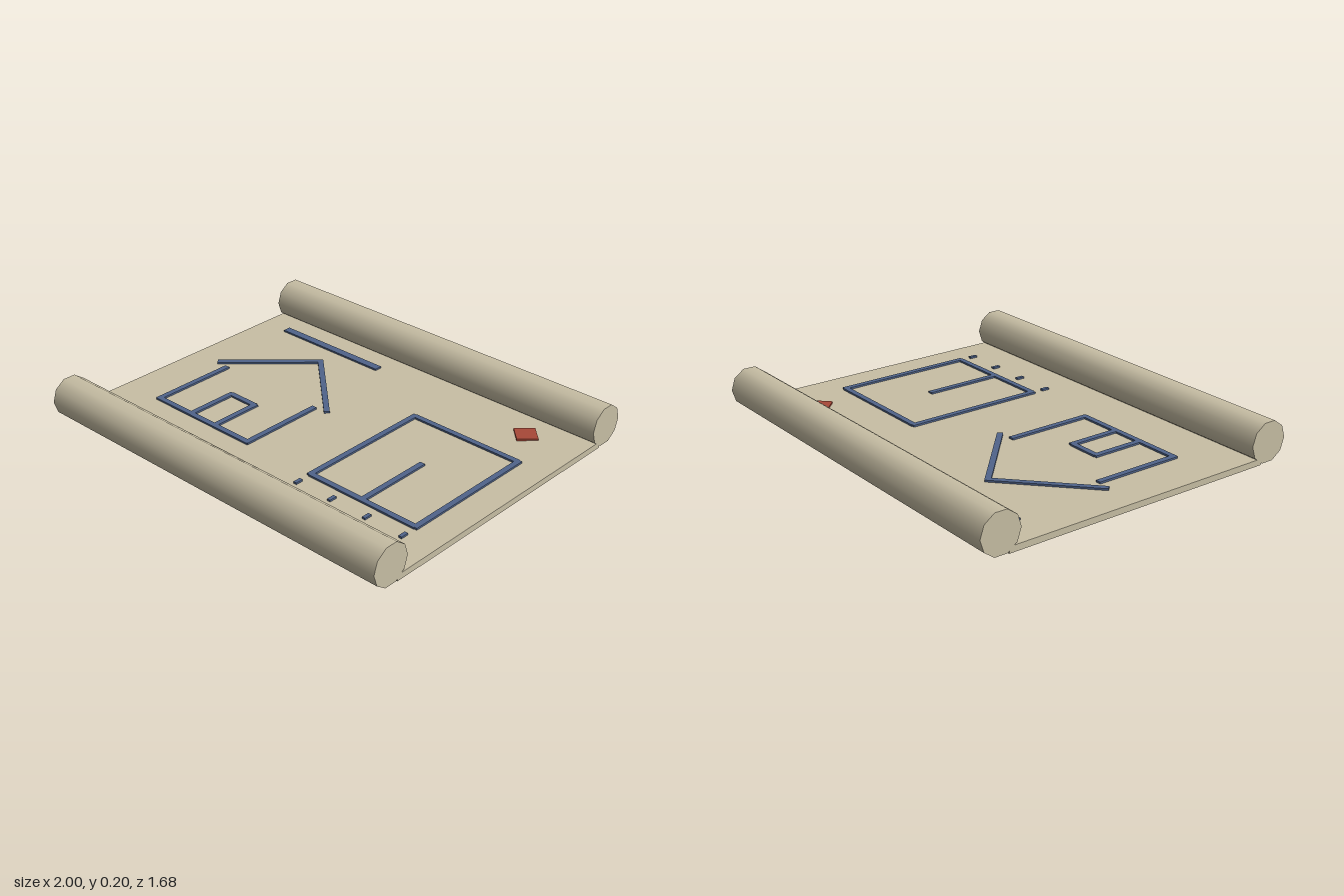
import * as THREE from 'three';

export function createModel() {
  const root = new THREE.Group();
  root.name = 'scroll';

  const mat = (name, color) => {
    const m = new THREE.MeshStandardMaterial({ color });
    m.name = name;
    return m;
  };
  const parchment = mat('parchment', 0xc8bfa5);
  const ink = mat('blue ink', 0x50648a);
  const wax = mat('red seal', 0xa84838);

  const SHEET = 0.03, MARK = 0.009;

  const add = (parent, name, geometry, material, x, y, z) => {
    const mesh = new THREE.Mesh(geometry, material);
    mesh.name = name;
    mesh.position.set(x, y, z);
    parent.add(mesh);
    return mesh;
  };

  // Flat stroke drawn on the sheet from (x1, z1) to (x2, z2)
  const stroke = (parent, name, x1, z1, x2, z2, width = 0.028) => {
    const length = Math.hypot(x2 - x1, z2 - z1);
    const mesh = add(parent, name, new THREE.BoxGeometry(length, MARK, width), ink,
      (x1 + x2) / 2, SHEET + MARK / 2, (z1 + z2) / 2);
    mesh.rotation.y = -Math.atan2(z2 - z1, x2 - x1);
  };

  const group = (name) => {
    const g = new THREE.Group();
    g.name = name;
    root.add(g);
    return g;
  };

  // Sheet and the two rolled ends
  add(root, 'sheet', new THREE.BoxGeometry(2, SHEET, 1.4), parchment, 0, SHEET / 2, 0);
  for (const [name, side] of [['frontRoll', 1], ['backRoll', -1]]) {
    const roll = new THREE.CylinderGeometry(0.1, 0.1, 2, 10).rotateZ(Math.PI / 2);
    add(root, name, roll, parchment, 0, 0.1, side * 0.74);
  }

  // Heading bar
  stroke(root, 'headingBar', -0.84, -0.54, -0.2, -0.54, 0.04);

  // House elevation
  const house = group('houseDrawing');
  const cx = -0.46;
  for (const s of [-1, 1]) {
    stroke(house, 'roofSlope', cx + s * 0.376, -0.045, cx - s * 0.008, -0.405);
    stroke(house, 'houseWall', cx + s * 0.3, -0.04, cx + s * 0.3, 0.41);
    stroke(house, 'doorSide', cx + s * 0.08, 0.13, cx + s * 0.08, 0.4);
  }
  stroke(house, 'houseBase', cx - 0.31, 0.4, cx + 0.31, 0.4);
  stroke(house, 'doorTop', cx - 0.08, 0.14, cx + 0.08, 0.14);

  // Floor plan with scale ticks
  const plan = group('floorPlan');
  for (const x of [0.24, 0.84]) stroke(plan, 'planSide', x, -0.31, x, 0.41);
  for (const z of [-0.3, 0.4]) stroke(plan, 'planEdge', 0.24, z, 0.84, z);
  stroke(plan, 'planPartition', 0.54, 0, 0.54, 0.4);
  for (let i = 0; i < 4; i++) {
    const x = 0.24 + i * 0.2;
    stroke(plan, 'scaleTick', x, 0.46, x, 0.5, 0.018);
  }

  // Diamond seal
  const seal = add(root, 'seal', new THREE.BoxGeometry(0.1, MARK, 0.1), wax,
    0.72, SHEET + MARK / 2, -0.52);
  seal.rotation.y = Math.PI / 4;

  return root;
}
